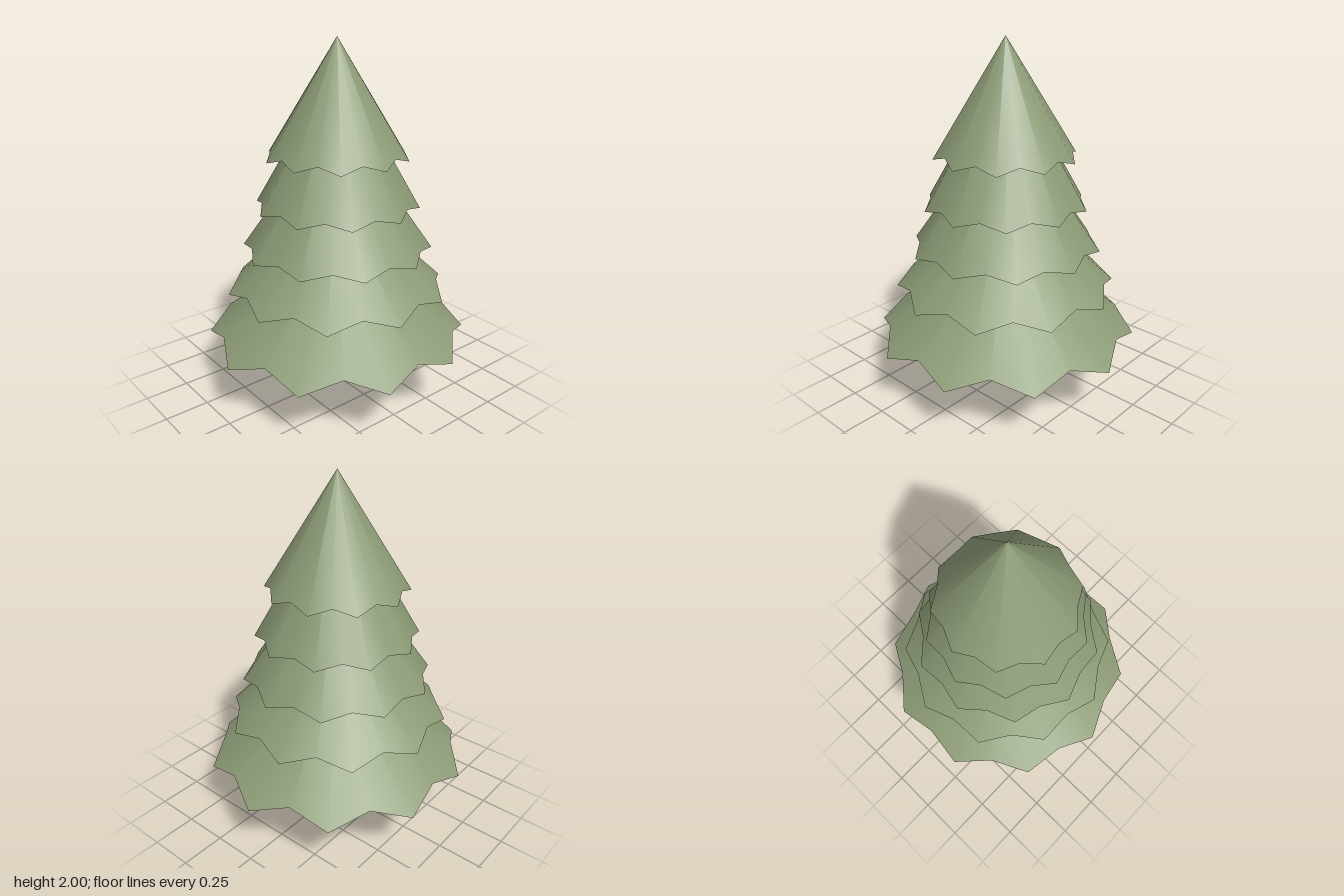
import * as THREE from 'three';

const POINTS = 10; // branch tips per tier
const SIDES = POINTS * 2;

const foliage = new THREE.MeshStandardMaterial({ color: 0x8c9b76, side: THREE.DoubleSide });
const bark = new THREE.MeshStandardMaterial({ color: 0x5c4636 });

// Smooth surface lofted between two rings of SIDES points
function loft(ringA, ringB) {
  const positions = [...ringA, ...ringB].flatMap((p) => p.toArray());
  const index = [];
  for (let i = 0; i < SIDES; i++) {
    const j = (i + 1) % SIDES;
    index.push(i, j, SIDES + i, j, SIDES + j, SIDES + i);
  }
  const geometry = new THREE.BufferGeometry();
  geometry.setAttribute('position', new THREE.Float32BufferAttribute(positions, 3));
  geometry.setIndex(index);
  geometry.computeVertexNormals();
  return geometry;
}

// Ring whose even points are tips and odd points are valleys
function ring(tipR, tipY, valleyR, valleyY, offset) {
  return Array.from({ length: SIDES }, (_, i) => {
    const a = offset + (i / SIDES) * Math.PI * 2;
    const tip = i % 2 === 0;
    const r = tip ? tipR : valleyR;
    return new THREE.Vector3(Math.cos(a) * r, tip ? tipY : valleyY, Math.sin(a) * r);
  });
}

// One skirt of branches: sloping top and shallow hollow underside
function makeTier({ r, y, valleyY, topR, topY, turn }, n) {
  const offset = THREE.MathUtils.degToRad(turn);
  const rim = ring(r, y, r * 0.91, valleyY, offset);
  const crown = ring(topR, topY, topR, topY, offset);
  const hollow = ring(0.002, y + 0.23, 0.002, y + 0.23, offset);
  const tier = new THREE.Group();
  tier.name = `branchTier${n}`;
  const top = new THREE.Mesh(loft(crown, rim), foliage);
  top.name = 'branchTop';
  const under = new THREE.Mesh(loft(rim, hollow), foliage);
  under.name = 'branchUnderside';
  tier.add(top, under);
  return tier;
}

export function createModel() {
  const tree = new THREE.Group();
  tree.name = 'pineTree';

  // Trunk
  const trunk = new THREE.Mesh(new THREE.CylinderGeometry(0.052, 0.052, 0.8, 20), bark);
  trunk.name = 'trunk';
  trunk.position.y = 0.4;
  tree.add(trunk);

  // Branch tiers from bottom to top, each turned against its neighbour
  const tiers = [
    { r: 0.74, y: 0.33, valleyY: 0.4, topR: 0.05, topY: 0.87, turn: 0 },
    { r: 0.62, y: 0.615, valleyY: 0.665, topR: 0.03, topY: 1.17, turn: 25.5 },
    { r: 0.53, y: 0.855, valleyY: 0.885, topR: 0.02, topY: 1.58, turn: 5.4 },
    { r: 0.455, y: 1.1, valleyY: 1.13, topR: 0.01, topY: 1.87, turn: 11 },
    { r: 0.395, y: 1.37, valleyY: 1.405, topR: 0.001, topY: 2, turn: 18 },
  ];
  tiers.forEach((tier, i) => tree.add(makeTier(tier, i + 1)));

  return tree;
}
